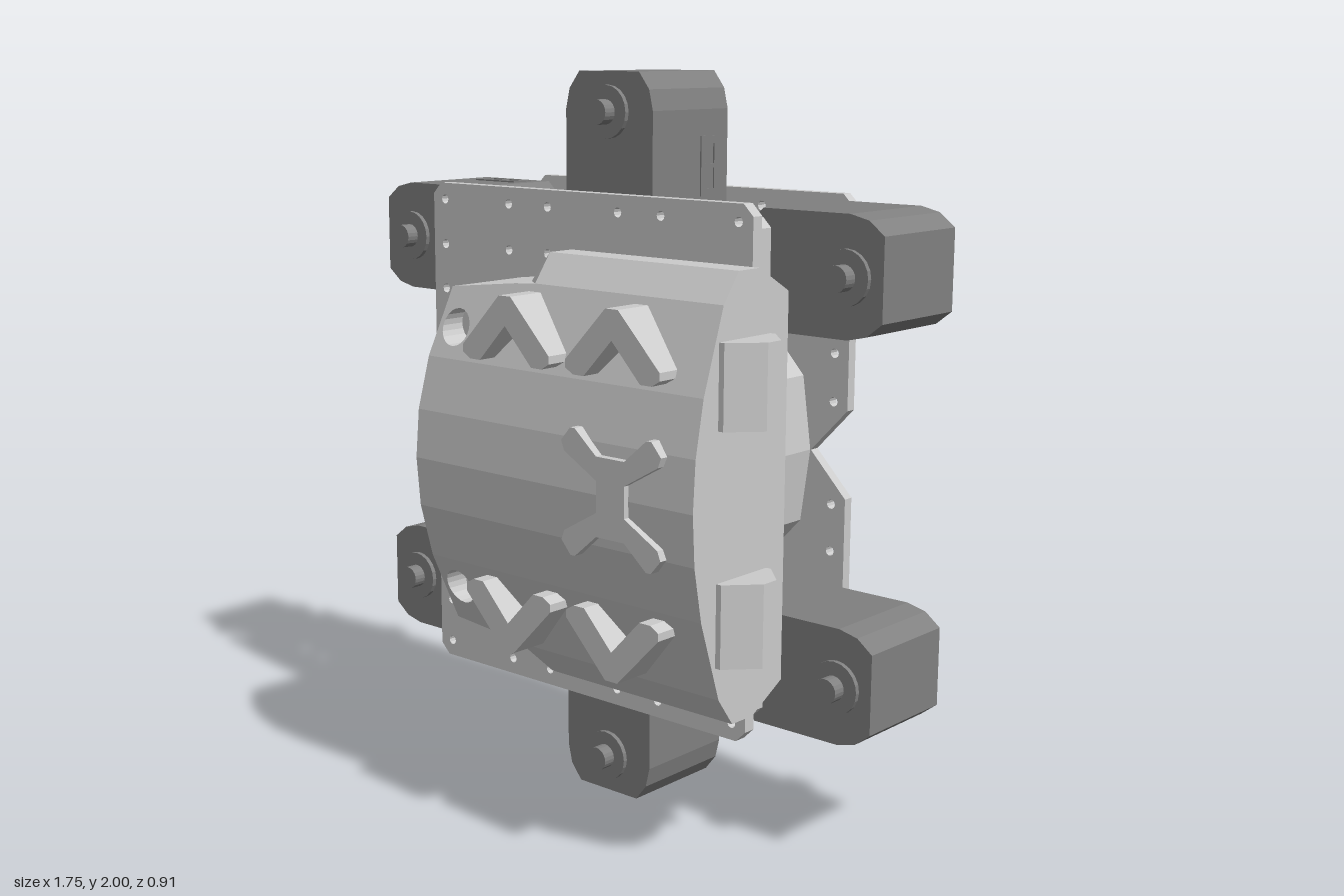
import * as THREE from 'three';

const light = new THREE.MeshStandardMaterial({ color: 0xcccccc, flatShading: true, side: THREE.DoubleSide });
const dark = new THREE.MeshStandardMaterial({ color: 0x808080, flatShading: true });

function add(parent, name, geometry, material = light, x = 0, y = 0, z = 0) {
  const mesh = new THREE.Mesh(geometry, material);
  mesh.name = name;
  mesh.position.set(x, y, z);
  parent.add(mesh);
  return mesh;
}

const outline = (pts) => new THREE.Shape(pts.map(([x, y]) => new THREE.Vector2(x, y)));
const circle = (x, y, r) => new THREE.Path().absarc(x, y, r, 0, Math.PI * 2, true);
const mirrorX = (pts) => [...pts, ...pts.slice().reverse().map(([x, y]) => [-x, y])];

// Extrusion between two z depths
function slab(shape, z0, z1) {
  return new THREE.ExtrudeGeometry(shape, { depth: z1 - z0, bevelEnabled: false, curveSegments: 5 }).translate(0, 0, z0);
}

// Cylinder along z between two depths
function rod(r, z0, z1, sides = 20) {
  return new THREE.CylinderGeometry(r, r, z1 - z0, sides).rotateX(Math.PI / 2).translate(0, 0, (z0 + z1) / 2);
}

// Notched, perforated plate centred on the origin
function plateShape() {
  const shape = outline(mirrorX([[0.535, -0.69], [0.565, -0.66], [0.565, -0.12], [0.45, 0],
    [0.565, 0.12], [0.565, 0.66], [0.535, 0.69]]));
  const rows = [[0.645, 0.125, 0.27, 0.52], [0.52, 0.125, 0.27, 0.52], [0.395, 0.125, 0.27, 0.52],
    [0.27, 0.27, 0.52], [0.14, 0.52]];
  for (const [y, ...xs] of rows)
    for (const x of xs)
      for (const sx of [-1, 1])
        for (const sy of [-1, 1]) shape.holes.push(circle(sx * x, sy * y, 0.013));
  return shape;
}

// Arm with its tip at the origin, pointing up
function createArm(name, x, y, turn) {
  const arm = new THREE.Group();
  arm.name = name;
  arm.position.set(x, y, 0);
  arm.rotation.z = turn;
  const profile = mirrorX([[0.13, -0.385], [0.153, -0.36], [0.153, -0.1], [0.14, -0.045], [0.105, 0]]);
  add(arm, 'armBlock', slab(outline(profile), -0.33, -0.02), dark);
  add(arm, 'washer', rod(0.07, -0.343, -0.007), dark, 0, -0.105);
  add(arm, 'pivotPin', rod(0.033, -0.37, 0.03), dark, 0, -0.105);
  // Socket frame on the side face
  const frame = outline([[-0.035, -0.08], [0.035, -0.08], [0.035, 0.08], [-0.035, 0.08]]);
  for (const c of [-0.033, 0.033])
    frame.holes.push(new THREE.Path([[-0.02, -0.027], [-0.02, 0.027], [0.02, 0.027], [0.02, -0.027]]
      .map(([a, b]) => new THREE.Vector2(a, b + c))));
  add(arm, 'socketFrame', slab(frame, 0, 0.004).rotateY(Math.PI / 2), dark, 0.153, -0.25, -0.25);
  return arm;
}

// Front pack: cross-sections of [height, depth] lofted along x
const slopeZ = (y) => 0.405 - (Math.abs(y) - 0.27) / 3;
const leftX = (y) => -0.27 + 0.05 * (y / 0.45) ** 2;
function createPack() {
  const pack = new THREE.Group();
  pack.name = 'frontPack';
  pack.position.y = 1;
  const front = [[0.27, 0.405], [0.13, 0.432], [0, 0.44]];
  const low = [[0.45, 0.085], [0.45, 0.2], [0.45, 0.28], [0.45, 0.345], ...front];
  const mid = [[0.475, 0.085], [0.475, 0.2], [0.475, 0.275], [0.475, slopeZ(0.475)], ...front];
  const high = [[0.49, 0.085], [0.555, 0.2], [0.555, 0.28], [0.48, 0.335], ...front];
  const ring = (half, xAt) => [...half, ...half.slice(0, -1).reverse().map(([y, z]) => [-y, z])]
    .map(([y, z]) => [xAt(y), y, z]);
  const rings = [ring(low, leftX), ring(mid, () => 0), ring(high, () => 0.07), ring(high, () => 0.675)];
  const n = rings[0].length;
  const pos = [];
  const panels = [];
  const tri = (...pts) => pts.forEach((p) => pos.push(...p));
  for (let i = 0; i < n; i++) {
    const j = (i + 1) % n;
    for (let s = 0; s < 3; s++) {
      const [a, b, c, d] = [rings[s][i], rings[s + 1][i], rings[s][j], rings[s + 1][j]];
      if (s === 0 && (i === 3 || i === n - 5)) panels.push([a, c, d, b]);
      else tri(a, c, d, a, d, b);
    }
    tri([-0.27, 0, 0.2], rings[0][j], rings[0][i]);
    tri([0.675, 0, 0.2], rings[3][i], rings[3][j]);
  }
  const shell = new THREE.BufferGeometry();
  shell.setAttribute('position', new THREE.Float32BufferAttribute(pos, 3));
  shell.computeVertexNormals();
  add(pack, 'packShell', shell);

  // Sloped panels with round recesses
  panels.forEach((corners, k) => {
    const cy = k ? -0.35 : 0.35;
    const shape = outline(corners);
    shape.holes.push(circle(-0.175, cy, 0.048));
    const panel = new THREE.ShapeGeometry(shape, 10);
    const p = panel.attributes.position;
    for (let i = 0; i < p.count; i++) p.setZ(i, slopeZ(p.getY(i)));
    panel.computeVertexNormals();
    add(pack, 'recessPanel', panel);
    const bore = new THREE.CylinderGeometry(0.048, 0.048, 0.1, 20, 1, true).rotateX(Math.PI / 2);
    const q = bore.attributes.position;
    for (let i = 0; i < q.count; i++) q.setZ(i, q.getZ(i) > 0 ? slopeZ(q.getY(i) + cy) : 0.31);
    bore.computeVertexNormals();
    add(pack, 'recessWall', bore, light, -0.175, cy);
    add(pack, 'recessFloor', new THREE.CircleGeometry(0.048, 20), light, -0.175, cy, 0.31);
  });

  // Raised chevrons
  const chevron = mirrorX([[0, 0.385], [0.09, 0.29], [0.125, 0.29], [0.15, 0.305], [0.15, 0.325], [0.02, 0.46], [0, 0.47]]
    .slice(1, -1));
  chevron.push([0, 0.385]);
  for (const x of [0.075, 0.43])
    for (const s of [1, -1])
      add(pack, 'chevron', slab(outline(chevron.map(([a, b]) => [a, b * s])), 0.32, 0.45), light, x);

  // Raised cross
  const quarter = [[0.045, 0.04], [0.15, 0.1], [0.16, 0.125], [0.13, 0.16], [0.115, 0.16], [0.045, 0.1]];
  const half = [...quarter.slice().reverse().map(([x, y]) => [x, -y]), ...quarter];
  add(pack, 'cross', slab(outline(mirrorX(half)), 0.38, 0.455), light, 0.43);

  // Tapered side blocks, profile in x and z
  const wedge = outline([[0.66, -0.155], [0.66, -0.35], [0.69, -0.35], [0.76, -0.275], [0.76, -0.225], [0.69, -0.155]]);
  for (const y of [-0.29, 0.29])
    add(pack, 'sideBlock', slab(wedge, -0.105, 0.105).rotateX(-Math.PI / 2), light, 0, y);
  return pack;
}

export function createModel() {
  const model = new THREE.Group();
  model.name = 'armedModule';

  // Plates and the hub between them
  add(model, 'frontPlate', slab(plateShape(), 0.05, 0.085), light, 0, 1);
  add(model, 'backPlate', slab(plateShape(), -0.365, -0.335), light, 0, 1);
  const hub = mirrorX([[0.36, -0.265], [0.42, -0.2], [0.448, 0], [0.42, 0.2], [0.36, 0.265]]);
  add(model, 'hub', slab(outline(hub), -0.335, 0.05), light, 0, 1);

  // Spacer pads behind the front plate
  for (const y of [0.5, 1.5])
    for (const [x, w] of [[-0.39, 0.3], [0, 0.32], [0.39, 0.3]]) {
      const a = w / 2, b = 0.15, c = 0.025;
      const pad = outline(mirrorX([[a - c, -b], [a, c - b], [a, b - c], [a - c, b]]));
      add(model, 'spacerPad', slab(pad, -0.02, 0.05), light, x, y);
    }

  // Six arms
  const q = Math.PI / 2;
  model.add(createArm('topArm', 0, 2, 0), createArm('bottomArm', 0, 0, 2 * q));
  for (const [level, y] of [['upper', 1.52], ['lower', 0.485]])
    model.add(createArm(level + 'LeftArm', 0.875, y, -q), createArm(level + 'RightArm', -0.875, y, q));

  // Domed cap on the back
  const cap = [[0.2, 0], [0.2, 0.06], [0.185, 0.077], [0.1, 0.087], [0, 0.09]].map(([r, h]) => new THREE.Vector2(r, h));
  add(model, 'backCap', new THREE.LatheGeometry(cap, 14).rotateX(-q), light, 0, 1, -0.365);

  model.add(createPack());
  return model;
}
